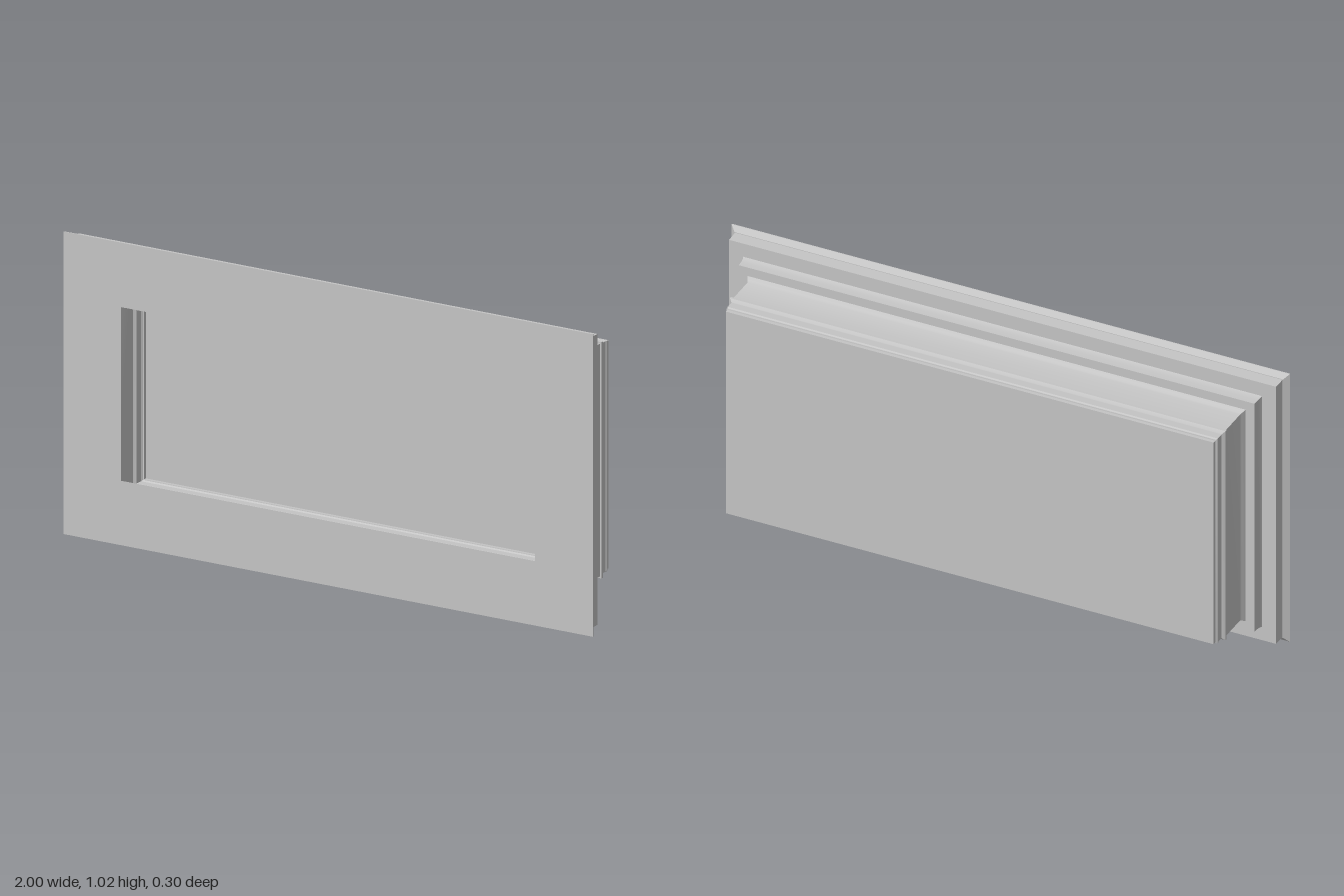
import * as THREE from 'three';
import { toCreasedNormals } from 'three/addons/utils/BufferGeometryUtils.js';

const HALF_W = 1, HALF_H = 0.5115, CENTRE_Y = 0.5115;

// Sweeps a profile of [inset from outer edge, z] points round the rectangle with mitred corners
function sweepFrame(profile) {
  const corners = [[1, 1], [-1, 1], [-1, -1], [1, -1]];
  const at = ([inset, z], [sx, sy]) => [sx * (HALF_W - inset), CENTRE_Y + sy * (HALF_H - inset), z];
  const pos = [];
  for (let i = 0; i < 4; i++) {
    const c0 = corners[i], c1 = corners[(i + 1) % 4];
    for (let j = 0; j < profile.length - 1; j++) {
      const a = at(profile[j], c0), b = at(profile[j + 1], c0);
      const c = at(profile[j], c1), d = at(profile[j + 1], c1);
      pos.push(...a, ...b, ...c, ...b, ...d, ...c);
    }
  }
  const geo = new THREE.BufferGeometry();
  geo.setAttribute('position', new THREE.Float32BufferAttribute(pos, 3));
  return toCreasedNormals(geo, 0.55);
}

export function createModel() {
  const group = new THREE.Group();
  // Thin open shell, seen from inside through the front opening
  const grey = new THREE.MeshStandardMaterial({ color: 0xc4c4c4, side: THREE.DoubleSide });
  grey.name = 'plain grey';

  const add = (name, geo) => {
    const mesh = new THREE.Mesh(geo, grey);
    mesh.name = name;
    group.add(mesh);
    return mesh;
  };

  // Flat front border around the opening
  add('frontBorder', sweepFrame([[0.218, 0.15], [0, 0.15]]));

  // Stepped hollow moulding, from the front lip to the back
  add('moulding', sweepFrame([
    [0, 0.15], [0, 0.147], [0.017, 0.133], [0.019, 0.133], [0.02, 0.088],
    [0.07, 0.088], [0.073, 0.08], [0.075, 0.065], [0.076, 0.045],
    [0.108, 0.045], [0.111, 0.038], [0.115, 0.031], [0.118, 0.024],
    [0.118, -0.084], [0.112, -0.084], [0.112, -0.092], [0.12, -0.099],
    [0.122, -0.1], [0.122, -0.125], [0.121, -0.126], [0.121, -0.129],
    [0.125, -0.134], [0.123, -0.135], [0.123, -0.137], [0.126, -0.138], [0.126, -0.15],
  ]));

  // Back panel closing the shell
  const back = add('backPanel', new THREE.PlaneGeometry(2 * (HALF_W - 0.126), 2 * (HALF_H - 0.126)));
  back.position.set(0, CENTRE_Y, -0.15);
  back.rotation.y = Math.PI;
  return group;
}
